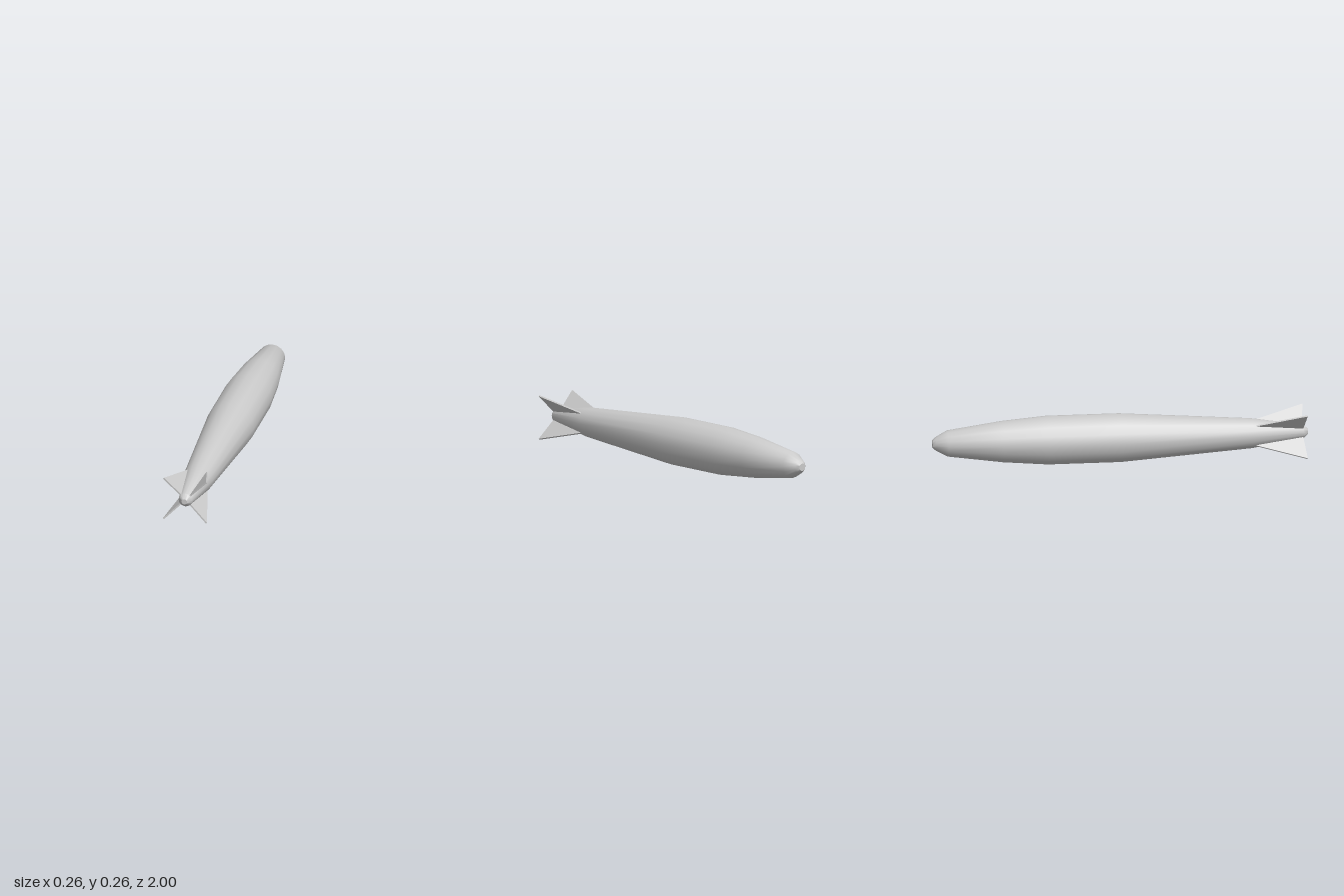
import * as THREE from 'three';
import { toCreasedNormals } from 'three/addons/utils/BufferGeometryUtils.js';

const AXIS_Y = 0.13; // height of the hull's centre line

export function createModel() {
  const group = new THREE.Group();
  group.name = 'airship';
  const material = new THREE.MeshStandardMaterial({ color: 0xcccccc });

  // Hull: 16-sided body of revolution, [radius, z] from nose (-z) to tail (+z)
  const profile = [
    [0, -1], [0.02, -1], [0.036, -0.983], [0.07, -0.92], [0.11, -0.63],
    [0.13, -0.39], [0.13, 0], [0.08, 0.7], [0.037, 0.975], [0.015, 1], [0, 1],
  ].map(([r, z]) => new THREE.Vector2(r, z));
  const hullGeometry = new THREE.LatheGeometry(profile, 16).rotateX(Math.PI / 2);
  const hull = new THREE.Mesh(toCreasedNormals(hullGeometry, 0.65), material);
  hull.name = 'hull';
  hull.position.y = AXIS_Y;
  group.add(hull);

  // Tail fins: thin plates drawn as (z, radius), set on the diagonals
  const thickness = 0.008;
  const outline = new THREE.Shape([
    new THREE.Vector2(0.72, 0.078),
    new THREE.Vector2(0.985, 0.166),
    new THREE.Vector2(0.972, 0.03),
    new THREE.Vector2(0.72, 0.06),
  ]);
  const finGeometry = new THREE.ExtrudeGeometry(outline, { depth: thickness, bevelEnabled: false });
  finGeometry.translate(0, 0, -thickness / 2).rotateY(-Math.PI / 2);
  for (let i = 0; i < 4; i++) {
    const fin = new THREE.Mesh(finGeometry, material);
    fin.name = `tailFin${i + 1}`;
    fin.position.y = AXIS_Y;
    fin.rotation.z = Math.PI / 4 + (i * Math.PI) / 2;
    group.add(fin);
  }
  return group;
}
